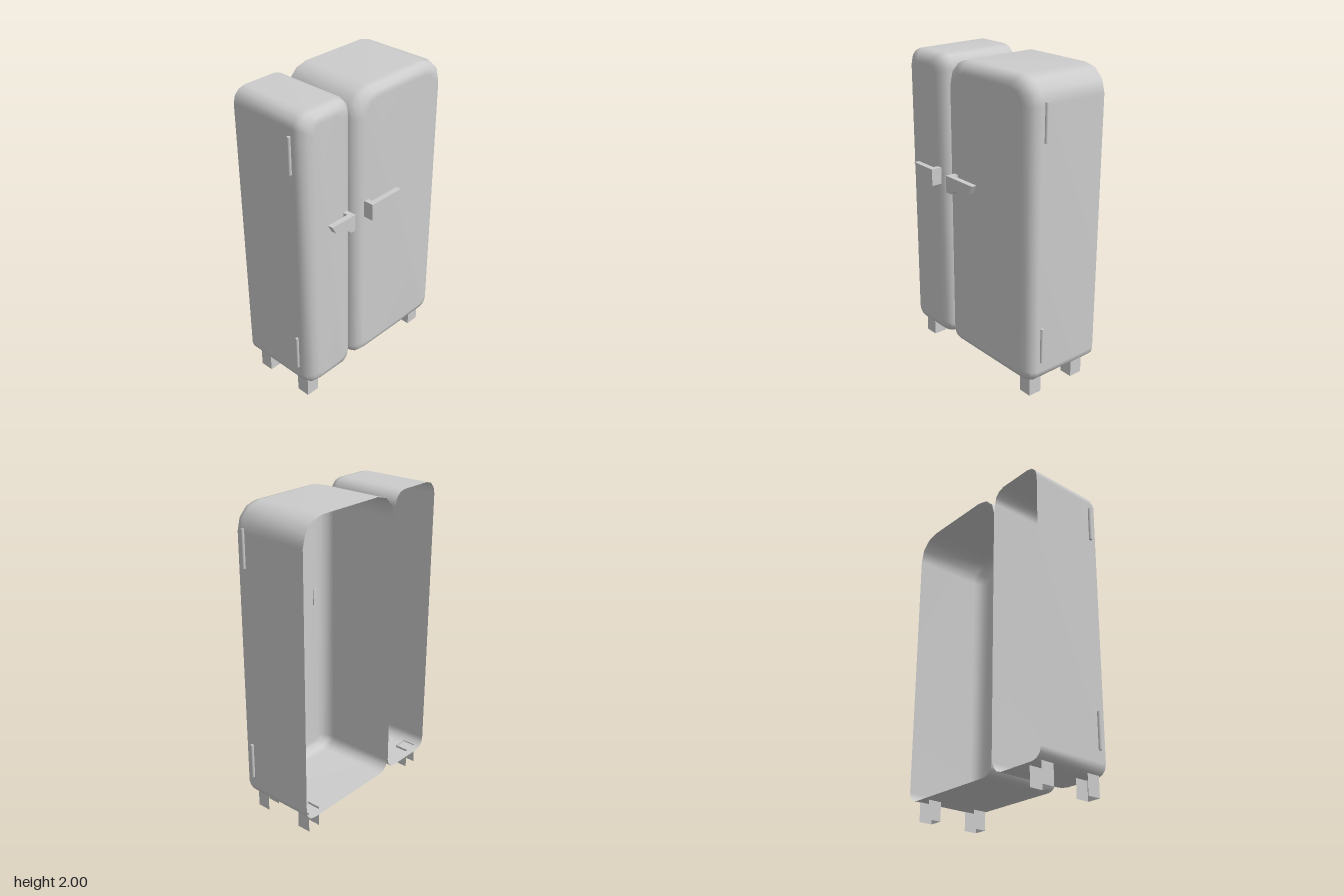
import * as THREE from 'three';

const enamel = new THREE.MeshStandardMaterial({ color: 0xcccccc, side: THREE.DoubleSide });
enamel.name = 'grey enamel';

function add(parent, geometry, name, x = 0, y = 0, z = 0) {
  const mesh = new THREE.Mesh(geometry, enamel);
  mesh.name = name;
  mesh.position.set(x, y, z);
  parent.add(mesh);
  return mesh;
}

// Counter-clockwise rounded outline with separate top and bottom corner radii
function outline(x0, x1, y0, y1, rTop, rBottom) {
  const corners = [
    [x1 - rBottom, y0 + rBottom, rBottom, -Math.PI / 2],
    [x1 - rTop, y1 - rTop, rTop, 0],
    [x0 + rTop, y1 - rTop, rTop, Math.PI / 2],
    [x0 + rBottom, y0 + rBottom, rBottom, Math.PI]
  ];
  const points = [];
  for (const [cx, cy, r, start] of corners) {
    for (let i = 0; i <= 3; i++) {
      const a = start + (i / 3) * Math.PI / 2;
      points.push([cx + r * Math.cos(a), cy + r * Math.sin(a)]);
    }
  }
  return points;
}

// Hollow cabinet, open at the back, with a soft rounded front
function cabinetGeometry(x0, x1, rTop, rBottom) {
  const y0 = 0.12, y1 = 2, back = -0.305, front = 0.24, depth = 0.075;
  const sections = [[back, 0]];
  for (let i = 0; i <= 3; i++) {
    const a = (i / 3) * Math.PI / 2;
    sections.push([front - depth + depth * Math.sin(a), 1 - Math.cos(a)]);
  }
  const positions = [], index = [], n = 16;
  for (const [z, t] of sections) {
    const ix = 0.085 * t, iy = 0.07 * t;
    const loop = outline(x0 + ix, x1 - ix, y0 + iy, y1 - iy,
      rTop - rTop * 0.35 * t, rBottom - rBottom * 0.4 * t);
    for (const [x, y] of loop) positions.push(x, y, z);
  }
  for (let s = 0; s < sections.length - 1; s++) {
    for (let i = 0; i < n; i++) {
      const j = (i + 1) % n, a = s * n + i, b = s * n + j;
      index.push(a, b, b + n, a, b + n, a + n);
    }
  }
  // Front face as a fan
  const last = (sections.length - 1) * n, centre = sections.length * n;
  positions.push((x0 + x1) / 2, (y0 + y1) / 2, front);
  for (let i = 0; i < n; i++) index.push(centre, last + i, last + (i + 1) % n);
  const g = new THREE.BufferGeometry();
  g.setAttribute('position', new THREE.Float32BufferAttribute(positions, 3));
  g.setIndex(index);
  g.computeVertexNormals();
  return g;
}

// Handle grip with a curved underside, on a short stem; side is the direction it points
function makeHandle(x, length, side, name) {
  const handle = new THREE.Group();
  handle.name = name;
  const shape = new THREE.Shape();
  shape.moveTo(0, 1.19);
  shape.lineTo(side * length * 0.18, 1.19);
  shape.quadraticCurveTo(side * length * 0.42, 1.24, side * (length - 0.03), 1.245);
  shape.lineTo(side * length, 1.298);
  shape.lineTo(0, 1.298);
  const grip = new THREE.ExtrudeGeometry(shape, { depth: 0.035, bevelEnabled: false, curveSegments: 5 });
  add(handle, grip, 'grip', x, 0, 0.27);
  add(handle, new THREE.BoxGeometry(0.034, 0.108, 0.036), 'stem', x + side * 0.017, 1.244, 0.252);
  return handle;
}

// Three-sided leg, open at the back, top and bottom
function makeLeg(x, z, name) {
  const leg = new THREE.Group();
  leg.name = name;
  const w = 0.09, h = 0.135;
  add(leg, new THREE.PlaneGeometry(w, h), 'front plate', x, h / 2, z + w / 2);
  for (const s of [-1, 1]) {
    const plate = add(leg, new THREE.PlaneGeometry(w, h), 'side plate', x + s * w / 2, h / 2, z);
    plate.rotation.y = s * Math.PI / 2;
  }
  return leg;
}

export function createModel() {
  const model = new THREE.Group();
  model.name = 'double fridge';

  add(model, cabinetGeometry(-0.59, -0.2, 0.085, 0.07), 'narrowCabinet');
  add(model, cabinetGeometry(-0.19, 0.59, 0.155, 0.07), 'wideCabinet');

  model.add(makeHandle(-0.255, 0.19, -1, 'narrowDoorHandle'));
  model.add(makeHandle(-0.11, 0.255, 1, 'wideDoorHandle'));

  // Hinge pins on the outer sides
  const pin = new THREE.CylinderGeometry(0.01, 0.01, 0.23, 8);
  for (const x of [-0.599, 0.599]) {
    for (const y of [0.375, 1.755]) add(model, pin, 'hinge', x, y, 0.142);
  }

  // Legs under the outer edges
  for (const x of [-0.505, 0.485]) {
    for (const z of [0.127, -0.222]) model.add(makeLeg(x, z, z > 0 ? 'frontLeg' : 'backLeg'));
  }
  return model;
}
